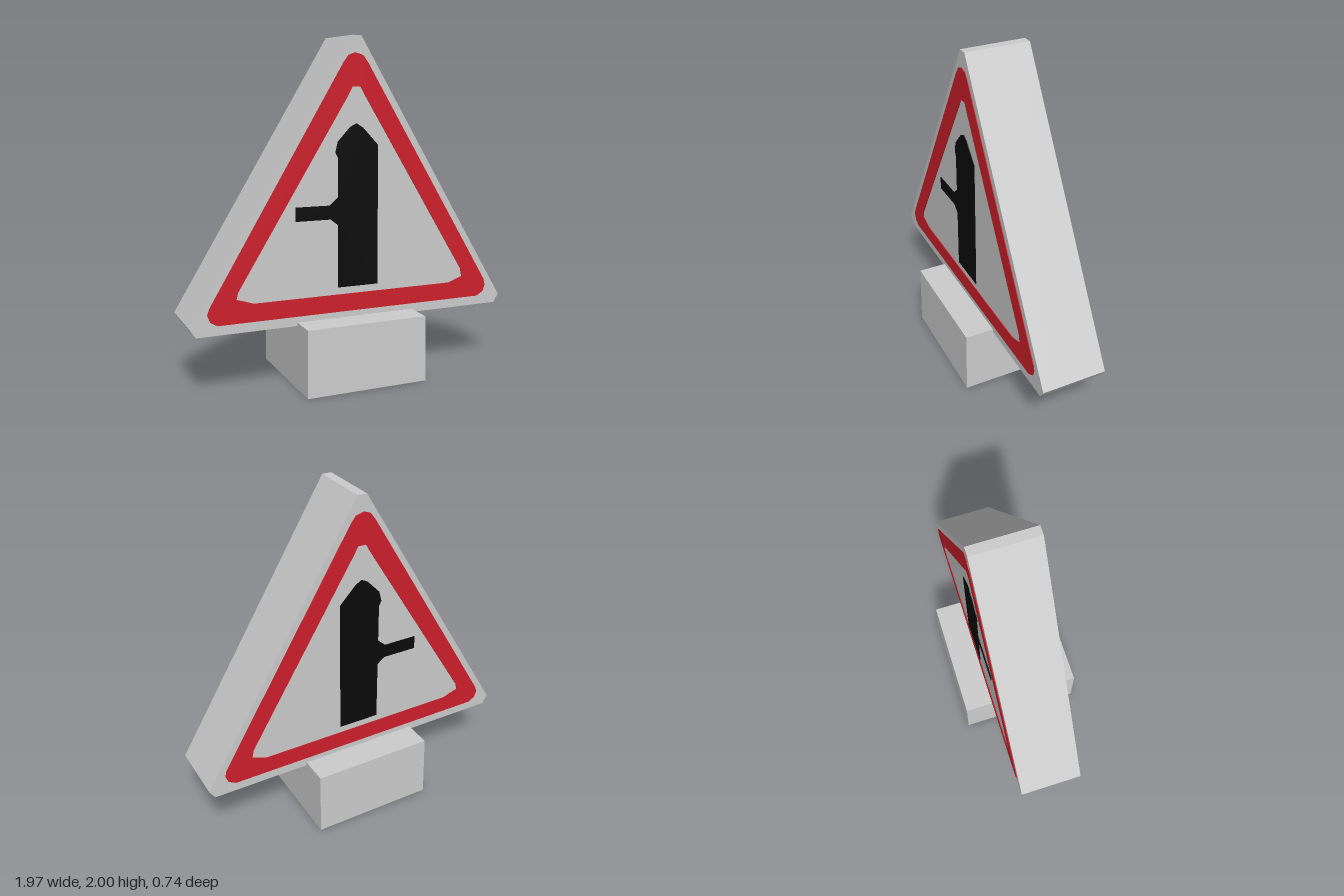
import * as THREE from 'three';

const grey = new THREE.MeshStandardMaterial({ color: 0xcccccc });
grey.name = 'light grey';
const red = new THREE.MeshStandardMaterial({ color: 0xcf202c });
red.name = 'sign red';
const black = new THREE.MeshStandardMaterial({ color: 0x0b0b0b });
black.name = 'symbol black';

const HALF_DEPTH = 0.193;
const PLATE = 0.004;

const outline = (pts) => pts.map(([x, y]) => new THREE.Vector2(x, y));

function extrude(name, shape, depth, z, material) {
  const geometry = new THREE.ExtrudeGeometry(shape, { depth, bevelEnabled: false });
  const mesh = new THREE.Mesh(geometry, material);
  mesh.position.z = z;
  mesh.name = name;
  return mesh;
}

export function createModel() {
  const model = new THREE.Group();
  model.name = 'roadSign';

  // Triangular body with clipped corners
  const body = new THREE.Shape(outline([
    [-0.95, 0.37], [0.95, 0.37], [0.983, 0.42], [0.028, 2], [-0.028, 2], [-0.983, 0.42],
  ]));
  model.add(extrude('signBody', body, HALF_DEPTH * 2, -HALF_DEPTH, grey));

  // Red border with rounded corners
  const border = new THREE.Shape(outline([
    [-0.83, 0.425], [0.82, 0.425], [0.865, 0.45], [0.88, 0.49], [0.87, 0.53], [0.07, 1.85],
    [0.04, 1.89], [-0.01, 1.905], [-0.05, 1.89], [-0.08, 1.85], [-0.87, 0.53], [-0.885, 0.49], [-0.87, 0.45],
  ]));
  border.holes.push(new THREE.Path(outline([
    [-0.62, 0.528], [-0.67, 0.545], [-0.72, 0.56], [-0.71, 0.60], [-0.05, 1.67], [-0.025, 1.715],
    [0.025, 1.715], [0.05, 1.67], [0.70, 0.61], [0.71, 0.56], [0.67, 0.545], [0.62, 0.528],
  ])));

  // Road symbol: upright arrow with a side branch
  const symbol = new THREE.Shape(outline([
    [-0.115, 0.57], [0.135, 0.57], [0.135, 1.385], [0.04, 1.485], [0, 1.51], [-0.04, 1.49],
    [-0.115, 1.41], [-0.13, 1.35], [-0.115, 1.32], [-0.115, 1.095], [-0.165, 1.05],
    [-0.37, 1.05], [-0.37, 0.97], [-0.16, 0.97], [-0.115, 0.935],
  ]));

  // Painted plates on both faces
  for (const [side, z] of [['front', HALF_DEPTH], ['back', -HALF_DEPTH - PLATE]]) {
    model.add(extrude(side + 'Border', border, PLATE, z, red));
    model.add(extrude(side + 'Symbol', symbol, PLATE, z, black));
  }

  // Slightly tapered square foot with a recess underneath
  const profile = outline([
    [0, 0.195], [0.23, 0.195], [0.23, 0], [0.372, 0], [0.366, 0.39], [0, 0.39],
  ]).map((p) => p.setX(p.x * Math.SQRT2));
  const footGeometry = new THREE.LatheGeometry(profile, 4).rotateY(Math.PI / 4).toNonIndexed();
  footGeometry.computeVertexNormals();
  const foot = new THREE.Mesh(footGeometry, grey);
  foot.name = 'foot';
  model.add(foot);

  return model;
}
